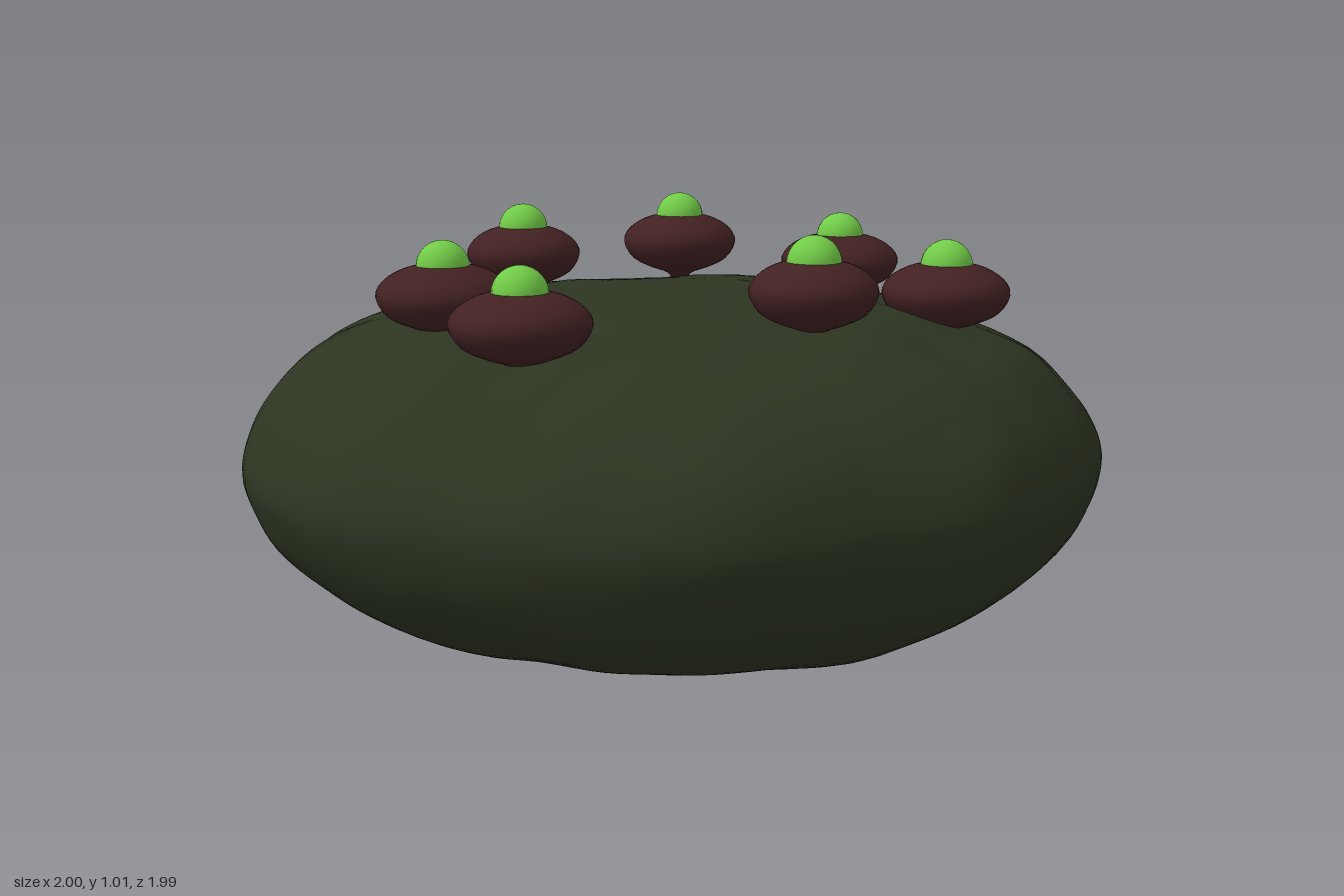
import * as THREE from 'three';

const moss = new THREE.MeshStandardMaterial({ color: 0x2c3421 });
moss.name = 'dark moss green';
const maroon = new THREE.MeshStandardMaterial({ color: 0x432122 });
maroon.name = 'dark maroon';
const lime = new THREE.MeshStandardMaterial({ color: 0x72cc48 });
lime.name = 'bright green';

// Plan outline (x, z), counterclockwise from above
const OUTLINE = [
  [1, -0.03], [0.93, -0.34], [0.77, -0.67], [0.57, -0.85], [0.22, -0.97], [-0.12, -0.99],
  [-0.41, -0.89], [-0.69, -0.69], [-0.91, -0.37], [-1, 0], [-0.92, 0.24], [-0.86, 0.5],
  [-0.67, 0.72], [-0.37, 0.92], [-0.12, 0.98], [0.14, 0.985], [0.38, 0.885], [0.6, 0.77],
  [0.81, 0.55], [0.9, 0.35], [0.93, 0.24],
];

// Section from the bottom to the top (share of the outline, height)
const PROFILE = [
  [0, 0.01], [0.15, 0.018], [0.45, 0.058], [0.65, 0.105], [0.8, 0.17], [0.89, 0.23],
  [0.96, 0.32], [1, 0.44], [0.98, 0.53], [0.925, 0.615], [0.825, 0.7], [0.7, 0.755],
  [0.55, 0.793], [0.35, 0.822], [0.15, 0.838], [0, 0.842],
];

// Soft lumps over the surface, from broad to fine
function lump(x, y, z) {
  return Math.sin(5 * x + 3 * y + 1) * Math.sin(4.3 * z - 4 * y + 2)
    + 0.5 * Math.sin(11 * x - 6 * y + 4) * Math.sin(10 * z + 9 * y)
    + 0.3 * Math.sin(19 * x + 8 * z + 5 * y) * Math.sin(17 * z - 7 * x + 16 * y + 1);
}

// Lumpy, flattened body lofted from scaled outlines
function bodyGeometry() {
  const outline = new THREE.CatmullRomCurve3(
    OUTLINE.map(([x, z]) => new THREE.Vector3(x, 0, z)), true);
  const profile = new THREE.SplineCurve(PROFILE.map(([s, y]) => new THREE.Vector2(s, y)));
  const rows = 60, cols = 126;
  const pos = [], index = [];
  for (let i = 0; i <= rows; i++) {
    const { x: s, y } = profile.getPoint(i / rows);
    const under = Math.max(0, 1 - y / 0.44);
    for (let j = 0; j < cols; j++) {
      const p = outline.getPoint(j / cols).multiplyScalar(s);
      // the lowest point lies a little towards the front, which curves up more
      const rise = 0.07 * under * Math.max(0, p.z - 0.1);
      p.z += 0.12 * under * under * (1 - s * 0.5);
      const n = lump(p.x, y, p.z);
      const side = 1 + 0.014 * n * s * Math.min(1, Math.abs(y - 0.44) * 5);
      pos.push(p.x * side, y + rise + 0.012 * n * s * (1 - s) * 4, p.z * side);
    }
  }
  for (let i = 0; i < rows; i++) {
    for (let j = 0; j < cols; j++) {
      const k = (j + 1) % cols;
      const a = i * cols + j, b = i * cols + k;
      const c = b + cols, d = a + cols;
      if (i > 0) index.push(a, b, c);
      if (i < rows - 1) index.push(a, c, d);
      else index.push(a, b, d);
    }
  }
  const g = new THREE.BufferGeometry();
  g.setAttribute('position', new THREE.Float32BufferAttribute(pos, 3));
  g.setIndex(index);
  g.computeVertexNormals();
  return g;
}

// Growths: x, z, height of the cap rim, cap radius
const GROWTHS = [
  [-0.03, -0.615, 0.845, 0.15], [0.485, -0.435, 0.832, 0.147], [-0.31, -0.31, 0.895, 0.144],
  [-0.43, 0.1, 0.882, 0.14], [0.49, 0, 0.873, 0.14], [-0.132, 0.533, 0.848, 0.15],
  [0.222, 0.578, 0.83, 0.15],
];

export function createModel() {
  const model = new THREE.Group();
  model.name = 'growthMound';

  const body = new THREE.Mesh(bodyGeometry(), moss);
  body.name = 'body';
  model.add(body);

  // Rounded cap with a short tapering stem below, for a rim radius of 1
  const capCurve = new THREE.SplineCurve([
    [0.06, -0.12], [0.2, -0.083], [0.5, -0.066], [0.83, -0.042], [1, 0],
    [0.9, 0.034], [0.62, 0.06], [0.28, 0.072], [0, 0.075],
  ].map(([r, y]) => new THREE.Vector2(r, y)));
  const capPoints = capCurve.getPoints(24);
  capPoints.forEach((p) => { p.x = Math.max(0, p.x); });
  const tipGeo = new THREE.SphereGeometry(0.06, 20, 14);

  GROWTHS.forEach(([x, z, y, radius], i) => {
    const growth = new THREE.Group();
    growth.name = 'growth' + (i + 1);
    growth.position.set(x, y, z);
    const profile = capPoints.map((p) => new THREE.Vector2(p.x * radius, p.y));
    const cap = new THREE.Mesh(new THREE.LatheGeometry(profile, 32), maroon);
    cap.name = 'cap';
    const tip = new THREE.Mesh(tipGeo, lime);
    tip.name = 'glowingTip';
    tip.position.y = 0.065;
    growth.add(cap, tip);
    model.add(growth);
  });

  return model;
}
